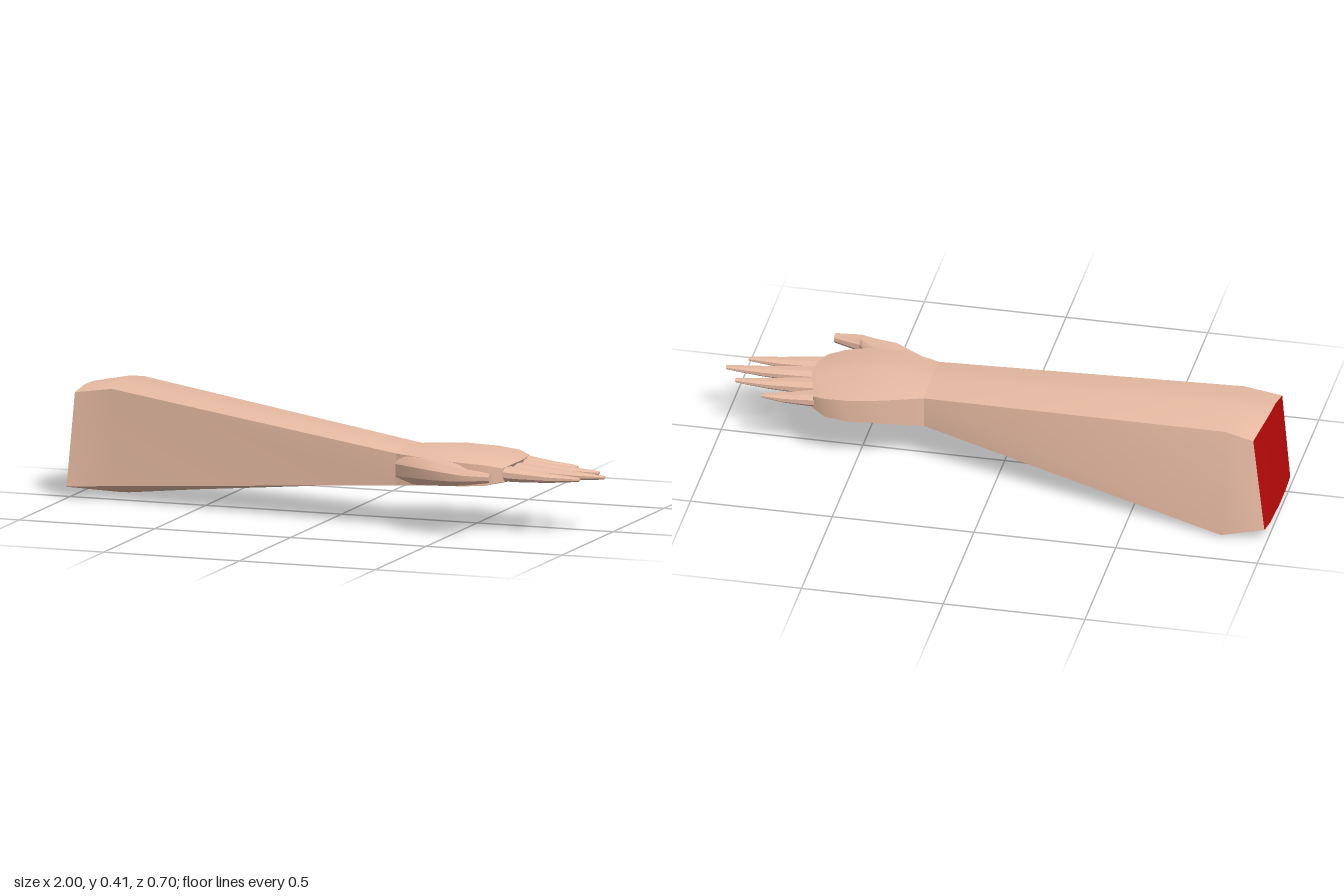
import * as THREE from 'three';
import { toCreasedNormals } from 'three/addons/utils/BufferGeometryUtils.js';

const skin = new THREE.MeshStandardMaterial({ color: 0xe8bba3 });
const flesh = new THREE.MeshStandardMaterial({ color: 0xc00a0a });

function mesh(name, pos, material, crease) {
  const g = new THREE.BufferGeometry();
  g.setAttribute('position', new THREE.Float32BufferAttribute(pos, 3));
  const m = new THREE.Mesh(toCreasedNormals(g, crease), material);
  m.name = name;
  return m;
}

// Closes a ring with a fan around its middle; facing +x when end is true.
function cap(ring, end) {
  const mid = [0, 1, 2].map(k => ring.reduce((s, p) => s + p[k], 0) / ring.length);
  const pos = [];
  ring.forEach((p, j) => {
    const q = ring[(j + 1) % ring.length];
    pos.push(...mid, ...(end ? q : p), ...(end ? p : q));
  });
  return pos;
}

// Skins a list of rings running towards +x.
function loft(name, rings, closeEnd, crease = 0.5) {
  const pos = [];
  for (let i = 0; i < rings.length - 1; i++) {
    const r = rings[i], s = rings[i + 1], n = r.length;
    for (let j = 0; j < n; j++) {
      const k = (j + 1) % n;
      pos.push(...r[j], ...s[j], ...r[k], ...s[j], ...s[k], ...r[k]);
    }
  }
  if (closeEnd) pos.push(...cap(rings[rings.length - 1], true));
  return mesh(name, pos, skin, crease);
}

// Flattened octagon used for the fingers and thumb.
function digitRing(x, zMin, zMax, yMin, yMax) {
  const z = t => zMin + (zMax - zMin) * t, y = t => yMin + (yMax - yMin) * t;
  return [[1, 0.3], [1, 0.7], [0.75, 1], [0.25, 1], [0, 0.7], [0, 0.3], [0.25, 0], [0.75, 0]]
    .map(([a, b]) => [x, y(b), z(a)]);
}

export function createModel() {
  const group = new THREE.Group();
  group.name = 'arm';
  const at = (x, list) => list.map(([z, y]) => [x, y, z]);

  // Forearm: slanted cut end, thick elbow end, thin wrist
  const cut = [[-1, 0.04, 0.035], [-0.975, 0.37, 0.02], [-0.97, 0.385, -0.06],
    [-0.965, 0.385, -0.14], [-0.94, 0.36, -0.29], [-0.99, 0.04, -0.34],
    [-0.995, 0.03, -0.27], [-1, 0.03, -0.15], [-1, 0.03, -0.04]];
  const elbow = at(-0.84, [[0.02, 0.05], [0.02, 0.39], [-0.06, 0.402], [-0.14, 0.41],
    [-0.29, 0.385], [-0.355, 0.01], [-0.27, 0], [-0.15, 0], [-0.04, 0.02]]);
  const wrist = at(0.27, [[0.19, 0.148], [0.18, 0.258], [0.12, 0.266], [0.05, 0.27],
    [-0.07, 0.255], [-0.07, 0.145], [-0.03, 0.145], [0.05, 0.145], [0.12, 0.145]]);
  group.add(loft('forearm', [cut, elbow, wrist], false, 0.7));
  group.add(mesh('cutEnd', cap(cut, false), flesh, 0.5));

  // Palm: x, front z, back z, edge top, middle top, edge bottom, middle bottom
  const palm = [
    [0.41, 0.235, -0.12, 0.257, 0.28, 0.165, 0.155],
    [0.53, 0.235, -0.135, 0.25, 0.27, 0.168, 0.165],
    [0.61, 0.215, -0.125, 0.243, 0.258, 0.172, 0.172],
    [0.69, 0.19, -0.1, 0.232, 0.243, 0.185, 0.18],
  ].map(([x, f, b, te, tm, be, bm]) => {
    const z = t => b + (f - b) * t;
    const curve = x > 0.65 ? 1.4 : 0; // knuckles follow an arc
    return [[1, be], [1, te], [0.75, (te + tm) / 2 + 0.004], [0.5, tm], [0, te],
      [0, be], [0.16, bm], [0.46, bm], [0.73, bm]]
      .map(([t, y]) => [x - curve * (z(t) - 0.06) ** 2, y, z(t)]);
  });
  group.add(loft('palm', [wrist, ...palm], true));

  // Thumb, growing out of the front side of the palm
  group.add(loft('thumb', [
    digitRing(0.27, 0.09, 0.19, 0.15, 0.255),
    digitRing(0.44, 0.17, 0.312, 0.172, 0.257),
    digitRing(0.53, 0.23, 0.335, 0.182, 0.247),
    digitRing(0.575, 0.288, 0.347, 0.19, 0.242),
    digitRing(0.67, 0.314, 0.342, 0.205, 0.235),
  ], true));

  // Fingers: name, base x, base z, tip x, tip z
  [['littleFinger', 0.63, -0.068, 0.84, -0.08],
    ['ringFinger', 0.66, 0.01, 0.95, 0.002],
    ['middleFinger', 0.67, 0.085, 1, 0.082],
    ['indexFinger', 0.65, 0.158, 0.935, 0.155]].forEach(([name, x0, z0, x1, z1]) => {
    const rings = [[0, 0.034, 0.184, 0.236], [0.22, 0.031, 0.184, 0.229],
      [0.6, 0.022, 0.187, 0.217], [0.9, 0.013, 0.194, 0.211], [1, 0.008, 0.197, 0.208]]
      .map(([t, w, lo, hi]) => {
        const z = z0 + (z1 - z0) * t;
        return digitRing(x0 + (x1 - x0) * t, z - w, z + w, lo, hi);
      });
    group.add(loft(name, rings, true));
  });

  return group;
}
